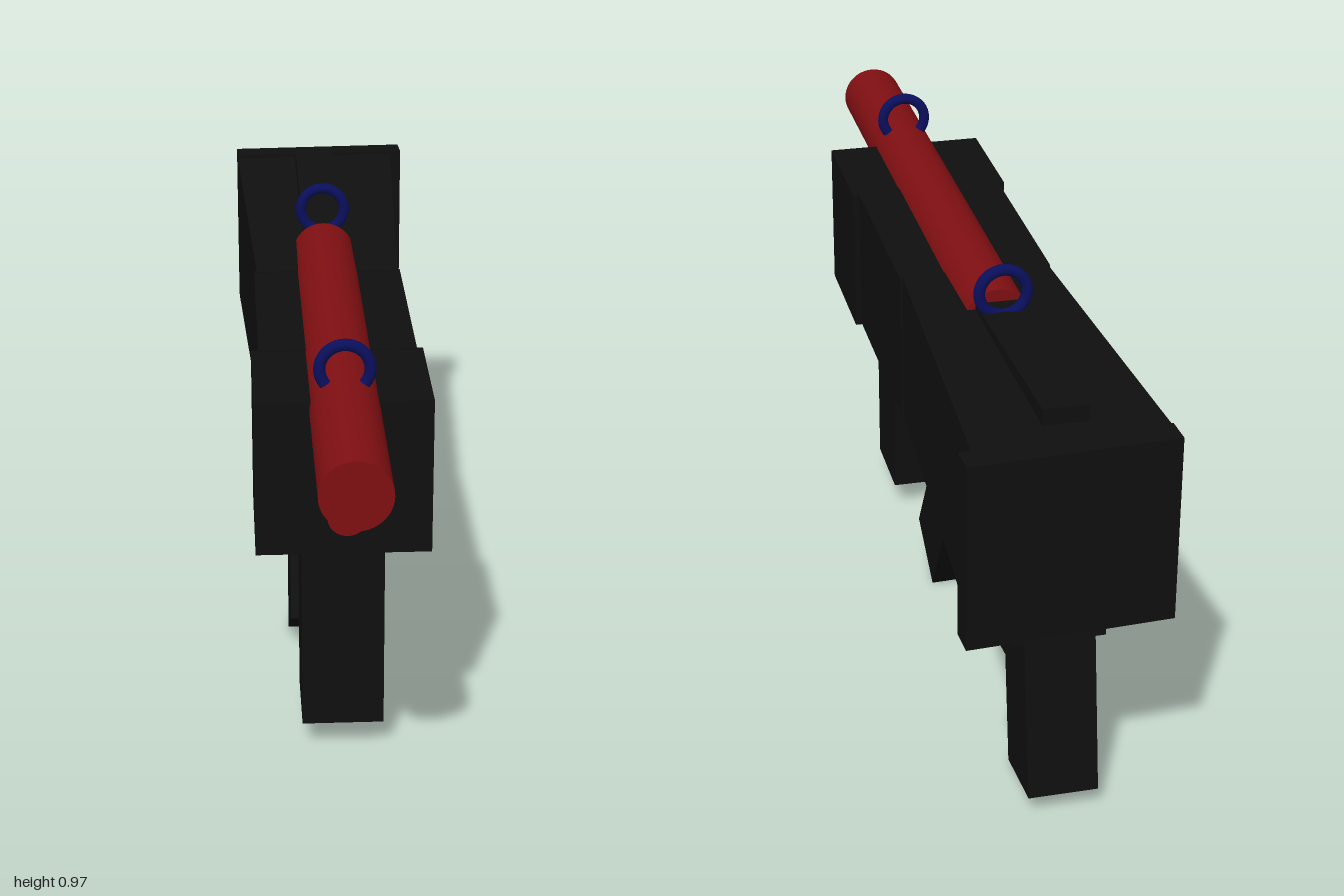
import * as THREE from 'three';

const black = new THREE.MeshStandardMaterial({ color: 0x0f0f0f, flatShading: true });
const red = new THREE.MeshStandardMaterial({ color: 0x7f0f12 });
const blue = new THREE.MeshStandardMaterial({ color: 0x0a0f5c });
const CX = -0.016; // centre line of the barrel and body

export function createModel() {
  const model = new THREE.Group();

  const add = (name, geometry, material) => {
    const mesh = new THREE.Mesh(geometry, material);
    mesh.name = name;
    model.add(mesh);
    return mesh;
  };

  // box given by its limits
  const block = (name, [x0, x1], [y0, y1], [z0, z1]) => {
    const g = new THREE.BoxGeometry(x1 - x0, y1 - y0, z1 - z0);
    g.translate((x0 + x1) / 2, (y0 + y1) / 2, (z0 + z1) / 2);
    return add(name, g, black);
  };

  // side profile of [z, y] points, extruded from x0 to x1
  const slab = (name, [x0, x1], points, hole) => {
    const toVectors = (list) => list.map(([z, y]) => new THREE.Vector2(-z, y));
    const shape = new THREE.Shape(toVectors(points));
    if (hole) shape.holes.push(new THREE.Path(toVectors(hole)));
    const g = new THREE.ExtrudeGeometry(shape, { depth: x1 - x0, bevelEnabled: false });
    g.rotateY(Math.PI / 2).translate(x0, 0, 0);
    return add(name, g, black);
  };

  // round bar along z
  const bar = (name, radius, y, z0, z1) => {
    const g = new THREE.CylinderGeometry(radius, radius, z1 - z0, 40);
    g.rotateX(Math.PI / 2).translate(CX, y, (z0 + z1) / 2);
    return add(name, g, red);
  };

  // body: front block, middle section and flared stock
  block('frontBody', [-0.195, 0.16], [0.515, 0.845], [0.33, 0.61]);
  block('middleBody', [-0.18, 0.147], [0.52, 0.848], [-0.14, 0.34]);

  const stock = new THREE.BoxGeometry(1, 1, 0.82);
  const p = stock.attributes.position;
  for (let i = 0; i < p.count; i++) {
    const rear = p.getZ(i) < 0;
    const x = p.getX(i) > 0 ? (rear ? 0.182 : 0.142) : (rear ? -0.208 : -0.174);
    const y = p.getY(i) > 0 ? (rear ? 0.872 : 0.85) : (rear ? 0.492 : 0.52);
    p.setXYZ(i, x, y, rear ? -0.95 : -0.13);
  }
  add('stock', stock, black);

  // butt plate, turned slightly off square
  const butt = add('buttPlate', new THREE.BoxGeometry(0.414, 0.394, 0.058), black);
  butt.position.set(0, 0.682, -0.962);
  butt.rotation.y = 0.045;

  // raised rail on the stock
  slab('topRail', [-0.062, 0.03], [[-0.25, 0.84], [-0.25, 0.863], [-0.865, 0.905], [-0.865, 0.84]]);

  // barrels
  bar('mainBarrel', 0.07, 0.825, -0.33, 1);
  bar('lowerBarrel', 0.04, 0.648, 0.55, 0.72);

  // ring sights
  for (const [name, z] of [['frontSight', 0.605], ['rearSight', -0.38]]) {
    const ring = add(name, new THREE.TorusGeometry(0.05, 0.012, 14, 40), blue);
    ring.position.set(CX, 0.913, z);
  }

  // front grip
  block('frontGrip', [-0.1, 0.072], [0.066, 0.53], [0.33, 0.516]);

  // slanted magazine, leaning slightly to one side
  const magazine = slab('magazine', [-0.107, 0.063],
    [[0.112, 0.1], [-0.024, 0.005], [-0.34, 0.475], [-0.42, 0.525], [-0.185, 0.525]]);
  magazine.rotation.z = -0.025;
  magazine.position.set(-0.007, -0.001, 0);

  // trigger housing under the stock
  slab('triggerHousing', [-0.11, 0.08], [[-0.48, 0.55], [-0.476, 0.395], [-0.86, 0.382], [-0.864, 0.53]]);
  slab('housingCollar', [-0.125, 0.095], [[-0.48, 0.55], [-0.48, 0.49], [-0.86, 0.475], [-0.86, 0.53]]);

  // rear grip
  slab('rearGrip', [-0.088, 0.056], [[-0.69, 0.42], [-0.75, 0.026], [-0.915, 0.05], [-0.858, 0.42]]);

  // trigger guard and trigger
  slab('triggerGuard', [-0.062, 0.03],
    [[-0.48, 0.41], [-0.42, 0.2], [-0.433, 0.165], [-0.74, 0.21], [-0.74, 0.41]],
    [[-0.525, 0.395], [-0.48, 0.212], [-0.715, 0.245], [-0.695, 0.395]]);
  slab('trigger', [-0.04, 0.008], [[-0.525, 0.41], [-0.58, 0.295], [-0.622, 0.318], [-0.575, 0.41]]);

  return model;
}
